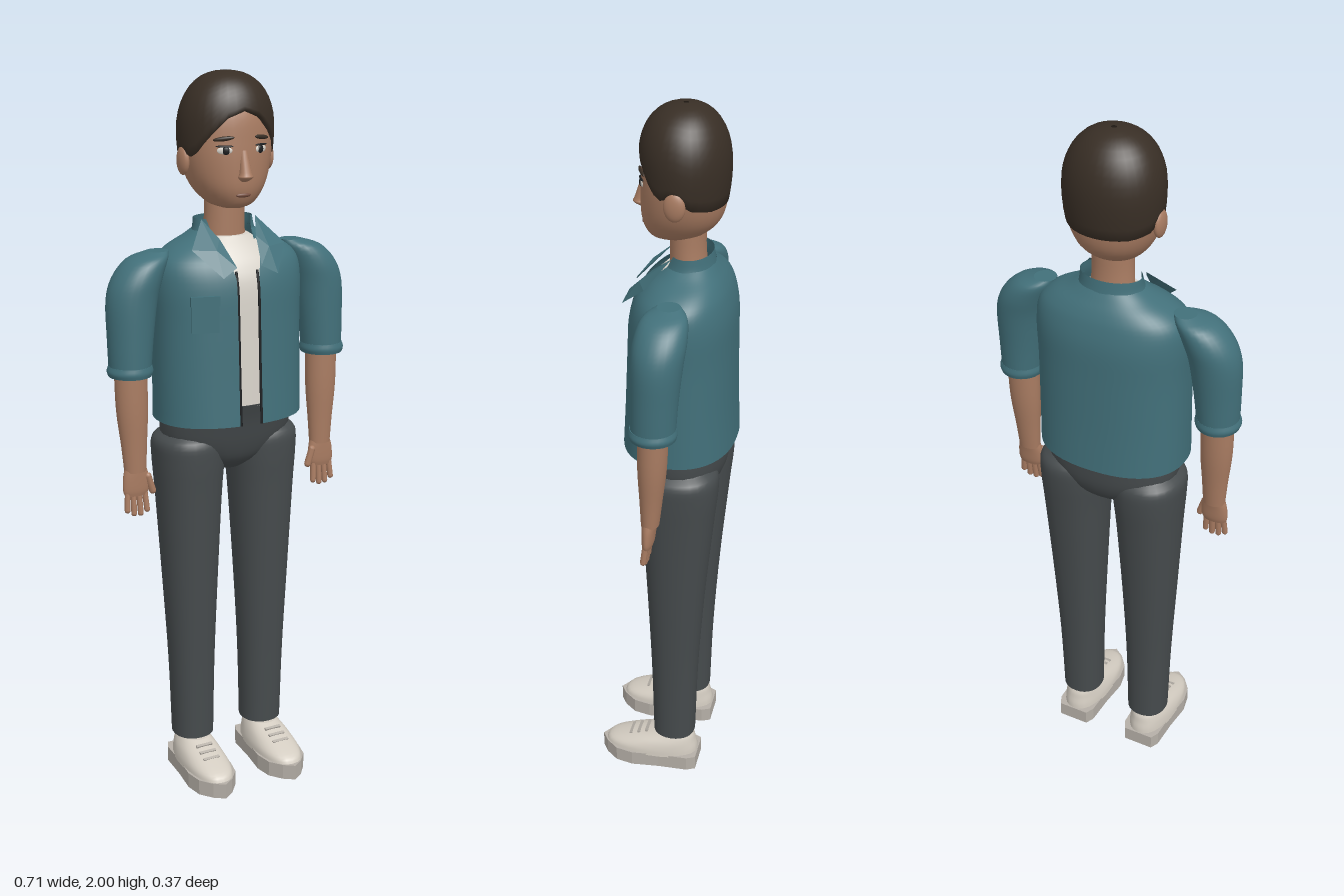
import * as THREE from 'three';

const mat = (name, color, side = THREE.FrontSide) => {
  const m = new THREE.MeshStandardMaterial({ color, side });
  m.name = name;
  return m;
};

// Surface from rows x columns of points; columns wrap round when closed.
function grid(rows, cols, point, closed = true, caps = true) {
  const pos = [], idx = [], n = closed ? cols : cols + 1;
  for (let i = 0; i <= rows; i++) for (let j = 0; j < n; j++) pos.push(...point(i, j));
  for (let i = 0; i < rows; i++) for (let j = 0; j < cols; j++) {
    const k = (j + 1) % n, a = i * n + j, b = i * n + k;
    idx.push(a, b, b + n, a, b + n, a + n);
  }
  if (closed && caps) for (const i of [0, rows]) {
    const base = pos.length / 3, c = [0, 0, 0];
    for (let j = 0; j < cols; j++) {
      const p = point(i, j);
      pos.push(...p);
      p.forEach((v, k) => { c[k] += v / cols; });
    }
    pos.push(...c);
    for (let j = 0; j < cols; j++) {
      const a = base + j, b = base + (j + 1) % cols;
      idx.push(base + cols, ...(i ? [a, b] : [b, a]));
    }
  }
  const g = new THREE.BufferGeometry();
  g.setAttribute('position', new THREE.Float32BufferAttribute(pos, 3));
  g.setIndex(idx);
  g.computeVertexNormals();
  return g;
}

// Smooth loft through level sections [y, cx, cz, rx, rz, frontGap], lowest first.
function loft(sections, { seg = 28, p = 2, sub = 4, open = false, side = 1 } = {}) {
  const mid = new THREE.CatmullRomCurve3(sections.map(s => new THREE.Vector3(s[1] * side, s[0], s[2])), false, 'catmullrom');
  const rad = new THREE.CatmullRomCurve3(sections.map(s => new THREE.Vector3(s[3], s[4], s[5] || 0)), false, 'catmullrom');
  const rows = (sections.length - 1) * sub;
  const bend = v => Math.sign(v) * Math.abs(v) ** (2 / p);
  return grid(rows, seg, (i, j) => {
    const c = mid.getPoint(i / rows), r = rad.getPoint(i / rows);
    const a0 = open ? Math.asin(Math.min(0.95, (r.z / r.x) ** (p / 2))) : 0;
    const a = a0 + (j / seg) * (2 * Math.PI - 2 * a0);
    return [c.x + r.x * bend(Math.sin(a)), c.y, c.z + r.y * bend(Math.cos(a))];
  }, !open);
}

function lerpTable(table, x) {
  const k = Math.max(1, table.findIndex(t => t[0] >= x));
  const [a, b] = [table[k - 1], table[k]];
  return THREE.MathUtils.lerp(a[1], b[1], (x - a[0]) / (b[0] - a[0]));
}

export function createModel() {
  const root = new THREE.Group();
  root.name = 'standingMan';
  const skin = mat('skin', 0xa97c62), hairMat = mat('hair', 0x382e25, THREE.DoubleSide);
  const teal = mat('jacketTeal', 0x42707a, THREE.DoubleSide), white = mat('shirtWhite', 0xd8d3ca);
  const grey = mat('trouserGrey', 0x464b4d), shoeMat = mat('shoeCream', 0xd3ccc1);
  const soleMat = mat('soleGrey', 0xb5afa7), dark = mat('darkTrim', 0x1d1f21), lip = mat('lip', 0x754d3e);

  const add = (name, geo, m, x = 0, y = 0, z = 0, parent = root) => {
    const mesh = new THREE.Mesh(geo, m);
    mesh.name = name;
    mesh.position.set(x, y, z);
    parent.add(mesh);
    return mesh;
  };
  const blob = (name, m, x, y, z, sx, sy, sz, yaw = 0, roll = 0) => {
    const b = add(name, new THREE.SphereGeometry(1, 20, 14), m, x, y, z);
    b.scale.set(sx, sy, sz);
    b.rotation.set(0, yaw, roll);
    return b;
  };

  // Head and neck
  add('neck', loft([[1.53, 0, -0.05, 0.062, 0.052], [1.62, 0, -0.045, 0.056, 0.047], [1.69, 0, -0.045, 0.056, 0.047]]), skin);
  add('head', loft([[1.652, 0, 0, 0.03, 0.035], [1.664, 0, -0.012, 0.06, 0.068], [1.7, 0, -0.026, 0.093, 0.098],
    [1.75, 0, -0.034, 0.114, 0.109], [1.82, 0, -0.036, 0.123, 0.109], [1.9, 0, -0.037, 0.115, 0.1], [1.96, 0, -0.037, 0.07, 0.06]], { p: 2.1 }), skin);
  add('nose', loft([[1.726, 0, 0.07, 0.01, 0.01], [1.737, 0, 0.078, 0.02, 0.02], [1.75, 0, 0.078, 0.016, 0.016],
    [1.805, 0, 0.066, 0.01, 0.009]], { seg: 16 }), skin);
  blob('lips', lip, 0, 1.69, 0.067, 0.022, 0.006, 0.006);

  // Hair cap: hairline height varies with the angle from the front
  const hairline = [[0, 1.905], [0.35, 1.888], [0.75, 1.84], [1.15, 1.785], [1.5, 1.8], [1.9, 1.765], [2.4, 1.755], [3.2, 1.755]];
  const hairSeg = 36, hairRows = 14;
  add('hair', grid(hairRows, hairSeg, (i, j) => {
    const a = (j / hairSeg) * Math.PI * 2;
    const low = lerpTable(hairline, Math.min(a, 2 * Math.PI - a));
    const t = Math.max(0, i - 1) / (hairRows - 1);
    const y = low + (2 - low) * Math.sin(t * Math.PI / 2);
    const up = Math.max(0, (y - 1.85) / 0.15), down = Math.max(0, (1.85 - y) / 0.25);
    let s = Math.max(0.001, 1 - up * up) ** 0.42 * (1 - 0.5 * down * down);
    s *= 1 + 0.12 * up * Math.max(0, Math.cos(a));
    if (i === 0) s *= 0.86;
    return [0.132 * s * Math.sin(a), y, -0.038 + 0.116 * s * Math.cos(a)];
  }, true, false), hairMat);

  for (const s of [1, -1]) {
    const side = s > 0 ? 'left' : 'right';
    // Face details
    blob(side + 'Ear', skin, s * 0.124, 1.775, -0.036, 0.014, 0.038, 0.028);
    blob(side + 'EyeWhite', white, s * 0.052, 1.806, 0.061, 0.021, 0.011, 0.006, s * 0.4);
    blob(side + 'Iris', dark, s * 0.05, 1.806, 0.065, 0.01, 0.011, 0.005, s * 0.4);
    blob(side + 'UpperLid', dark, s * 0.053, 1.817, 0.063, 0.023, 0.003, 0.005, s * 0.4);
    blob(side + 'Brow', hairMat, s * 0.055, 1.836, 0.062, 0.028, 0.006, 0.006, s * 0.45, -s * 0.12);

    // Arm: sleeve, cuff, forearm and hand
    add(side + 'Sleeve', loft([[1.225, 0.293, -0.02, 0.056, 0.058], [1.32, 0.289, -0.023, 0.062, 0.061], [1.42, 0.281, -0.028, 0.069, 0.066],
      [1.48, 0.262, -0.032, 0.068, 0.068], [1.525, 0.232, -0.036, 0.056, 0.058], [1.545, 0.2, -0.04, 0.03, 0.03]], { side: s }), teal);
    add(side + 'Cuff', loft([[1.222, 0.293, -0.02, 0.058, 0.06], [1.235, 0.293, -0.02, 0.062, 0.063], [1.25, 0.292, -0.02, 0.058, 0.06]], { side: s }), teal);
    add(side + 'Forearm', loft([[0.955, 0.288, -0.01, 0.031, 0.024], [1.03, 0.289, -0.013, 0.036, 0.03], [1.13, 0.291, -0.017, 0.044, 0.038],
      [1.25, 0.292, -0.02, 0.045, 0.04]], { side: s }), skin);
    add(side + 'Palm', loft([[0.888, 0.29, -0.004, 0.032, 0.012], [0.905, 0.289, -0.005, 0.038, 0.016], [0.94, 0.288, -0.007, 0.037, 0.019],
      [0.97, 0.288, -0.01, 0.029, 0.022]], { side: s }), skin);
    [0.045, 0.056, 0.058, 0.05].forEach((len, i) => {
      const f = add(side + 'Finger' + (i + 1), new THREE.CapsuleGeometry(0.0085, len, 4, 8), skin,
        s * (0.317 - i * 0.018), 0.895 - len / 2, 0);
      f.rotation.set(-0.12, 0, s * (0.08 - i * 0.05));
    });
    const thumb = add(side + 'Thumb', new THREE.CapsuleGeometry(0.01, 0.045, 4, 8), skin, s * 0.25, 0.918, 0.002);
    thumb.rotation.z = -s * 0.3;

    // Trouser leg
    add(side + 'Leg', loft([[0.115, 0.111, -0.037, 0.059, 0.061], [0.35, 0.112, -0.038, 0.065, 0.067], [0.6, 0.113, -0.041, 0.077, 0.08],
      [0.85, 0.113, -0.046, 0.09, 0.098], [0.96, 0.112, -0.048, 0.098, 0.107], [1.015, 0.112, -0.048, 0.097, 0.105],
      [1.04, 0.112, -0.048, 0.07, 0.08]], { side: s, p: 2.2 }), grey);
    add(side + 'Ankle', new THREE.CylinderGeometry(0.04, 0.04, 0.08, 20), skin, s * 0.111, 0.095, -0.037);

    // Shoe with a pointed sole
    const half = [[0.045, -0.11], [0.057, -0.085], [0.06, 0], [0.068, 0.08], [0.058, 0.13], [0.03, 0.165], [0, 0.185]];
    const outline = [...half, ...half.slice(0, -1).reverse().map(([x, z]) => [-x, z])];
    const soleShape = new THREE.Shape(outline.map(([x, z]) => new THREE.Vector2(x, -z)));
    const sole = add(side + 'Sole', new THREE.ExtrudeGeometry(soleShape, { depth: 0.045, bevelEnabled: false }), soleMat, s * 0.113);
    sole.rotation.x = -Math.PI / 2;
    add(side + 'ShoeUpper', loft([[0.04, 0.113, 0.033, 0.064, 0.141], [0.06, 0.113, 0.027, 0.062, 0.133], [0.08, 0.113, 0.003, 0.056, 0.104],
      [0.097, 0.112, -0.022, 0.048, 0.075], [0.108, 0.111, -0.034, 0.042, 0.058]], { side: s, p: 2.3 }), shoeMat);
    for (let i = 0; i < 3; i++) {
      const lace = add(side + 'Lace' + (i + 1), new THREE.BoxGeometry(0.05, 0.006, 0.008), soleMat, s * 0.113, 0.101 - i * 0.009, 0.045 + i * 0.024);
      lace.rotation.x = 0.4;
    }

    // Lapel folded over the jacket front
    const rim = [[0.08, 1.62, -0.02], [0.137, 1.552, 0.04], [0.08, 1.485, 0.112], [0.036, 1.508, 0.102], [0.054, 1.575, 0.035]];
    const tri = [];
    rim.forEach((q, i) => tri.push(0.077, 1.55, 0.066, ...q, ...rim[(i + 1) % rim.length]));
    const lapel = new THREE.BufferGeometry();
    lapel.setAttribute('position', new THREE.Float32BufferAttribute(tri.map((v, i) => (i % 3 ? v : v * s)), 3));
    if (s > 0) lapel.setIndex(tri.slice(0, 15).map((_, i) => i - (i % 3) + [0, 2, 1][i % 3]));
    lapel.computeVertexNormals();
    add(side + 'Lapel', lapel, teal);

    // Dark edging down the opening
    const edge = [[1.08, 0.12], [1.2, 0.112], [1.35, 0.105], [1.45, 0.099], [1.495, 0.088]];
    const path = new THREE.CatmullRomCurve3(edge.map(([y, z]) => new THREE.Vector3(s * 0.031, y, z - 0.002)));
    add(side + 'FrontEdge', new THREE.TubeGeometry(path, 20, 0.004, 6), dark);
  }

  // Trouser seat
  add('trouserSeat', loft([[0.925, 0, -0.045, 0.04, 0.05], [0.96, 0, -0.046, 0.12, 0.09], [1.01, 0, -0.046, 0.18, 0.112],
    [1.08, 0, -0.04, 0.192, 0.125], [1.13, 0, -0.035, 0.19, 0.138]], { p: 2.2 }), grey);

  // Shirt inside the open jacket
  add('shirt', loft([[1.125, 0, -0.033, 0.19, 0.134], [1.3, 0, -0.035, 0.19, 0.13], [1.44, 0, -0.037, 0.19, 0.126], [1.5, 0, -0.04, 0.17, 0.112],
    [1.54, 0, -0.046, 0.12, 0.092], [1.575, 0, -0.048, 0.066, 0.062]], { p: 2.3 }), white);

  // Jacket body, collar and chest pocket
  add('jacketBody', loft([[1.08, 0, -0.032, 0.209, 0.152, 0.03], [1.2, 0, -0.033, 0.209, 0.146, 0.03], [1.35, 0, -0.035, 0.209, 0.141, 0.03],
    [1.45, 0, -0.037, 0.212, 0.137, 0.03], [1.51, 0, -0.04, 0.203, 0.122, 0.042], [1.545, 0, -0.046, 0.168, 0.101, 0.055],
    [1.572, 0, -0.052, 0.115, 0.077, 0.06], [1.59, 0, -0.054, 0.085, 0.062, 0.06]], { p: 2.3, seg: 48, open: true }), teal);
  add('collar', loft([[1.56, 0, -0.05, 0.1, 0.075, 0.062], [1.59, 0, -0.052, 0.088, 0.065, 0.06], [1.62, 0, -0.055, 0.084, 0.056, 0.066]],
    { open: true }), teal);
  const pocket = add('chestPocket', new THREE.BoxGeometry(0.074, 0.095, 0.009), teal, -0.122, 1.388, 0.086);
  pocket.rotation.y = -0.27;
  const flap = add('pocketFlap', new THREE.BoxGeometry(0.078, 0.026, 0.009), teal, -0.123, 1.425, 0.089);
  flap.rotation.y = -0.27;

  return root;
}
